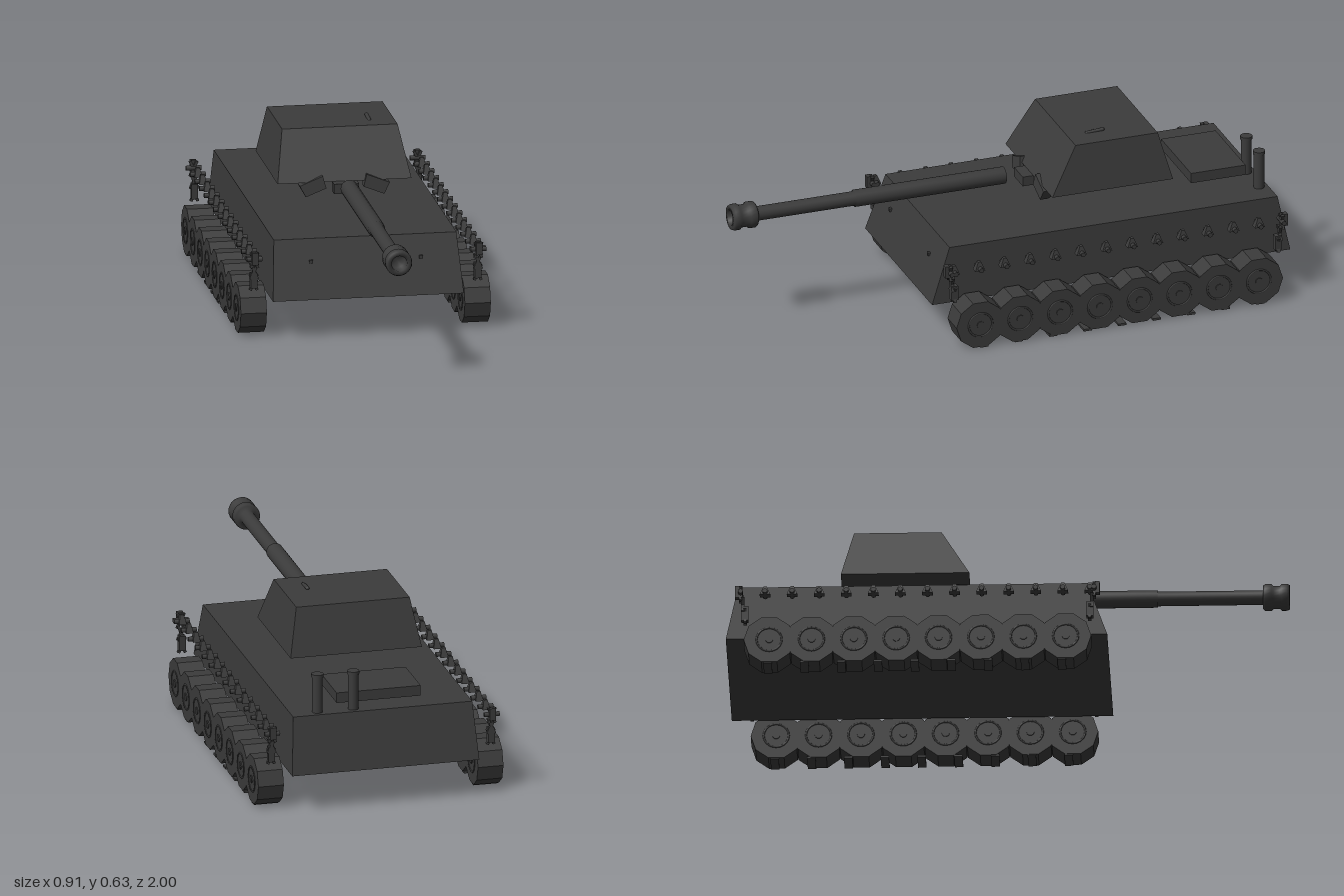
import * as THREE from 'three';

export function createModel() {
  const model = new THREE.Group();
  const steel = new THREE.MeshStandardMaterial({ color: 0x3b3b3b });
  steel.name = 'dark steel';
  const flatSteel = steel.clone();
  flatSteel.flatShading = true;

  function add(parent, name, geometry, x = 0, y = 0, z = 0, material = steel) {
    const mesh = new THREE.Mesh(geometry, material);
    mesh.name = name;
    mesh.position.set(x, y, z);
    parent.add(mesh);
    return mesh;
  }
  const box = (w, h, d) => new THREE.BoxGeometry(w, h, d);
  const rod = (r, len, sides = 20) => new THREE.CylinderGeometry(r, r, len, sides);

  // Box whose top and bottom rectangles differ: [half width, back z, front z]
  function taperedBox(bottom, top, y0, y1) {
    const g = box(2, 1, 1);
    const p = g.attributes.position;
    for (let i = 0; i < p.count; i++) {
      const upper = p.getY(i) > 0;
      const [w, back, front] = upper ? top : bottom;
      p.setXYZ(i, Math.sign(p.getX(i)) * w, upper ? y1 : y0, p.getZ(i) > 0 ? front : back);
    }
    g.computeVertexNormals();
    return g;
  }

  // Hull and turret
  add(model, 'hull', taperedBox([0.345, -1, 0.36], [0.33, -0.957, 0.288], 0.145, 0.353));
  const turret = new THREE.Group();
  turret.name = 'turret';
  model.add(turret);
  add(turret, 'turretBody', taperedBox([0.242, -0.593, -0.135], [0.209, -0.547, -0.235], 0.442, 0.617));
  const handle = add(turret, 'roofHandle', new THREE.CapsuleGeometry(0.007, 0.06, 4, 8), 0.12, 0.618, -0.34);
  handle.rotation.x = Math.PI / 2 + 0.08;

  // Angled blocks below the turret front
  for (const s of [-1, 1]) {
    const block = add(turret, 'mantletBlock',
      taperedBox([0.04, -0.155, -0.125], [0.045, -0.21, -0.13], -0.02, 0.025), s * 0.112, 0.425, 0);
    block.rotation.z = s * -0.38;
  }
  add(turret, 'mantlet', box(0.09, 0.036, 0.04), 0, 0.425, -0.115);

  // Gun barrel with a hollow muzzle brake
  const barrelProfile = [
    [0, -0.04], [0.031, -0.04], [0.031, 0.53], [0.026, 0.53], [0.026, 0.905], [0.042, 0.905],
    [0.048, 0.912], [0.048, 0.935], [0.041, 0.942], [0.041, 0.965], [0.048, 0.972],
    [0.048, 0.99], [0.044, 1], [0.028, 1], [0.028, 0.95], [0, 0.95],
  ];
  const barrelGeometry = new THREE.LatheGeometry(
    barrelProfile.map(([r, z]) => new THREE.Vector2(r, z)), 24).rotateX(Math.PI / 2);
  add(turret, 'gunBarrel', barrelGeometry, 0, 0.441, 0);

  // Engine cover, its base plate and the exhaust pipes
  add(model, 'engineCover', box(0.31, 0.038, 0.207), 0, 0.39, -0.797);
  add(model, 'coverPlate', box(0.175, 0.006, 0.17), -0.013, 0.365, -0.79);
  for (const x of [0.1, 0.232]) {
    add(model, 'exhaustPipe', rod(0.019, 0.18), x, 0.4, -0.923);
    add(model, 'exhaustRim', rod(0.022, 0.012), x, 0.491, -0.923);
  }

  // Front lamps on the sloping plate
  for (const x of [-0.2, 0.197]) {
    add(model, 'lamp', box(0.013, 0.012, 0.014), x, 0.275, 0.316);
  }

  // Running gear, one group per side
  const wheelGeometry = rod(0.091, 0.094, 10).rotateZ(Math.PI / 2);
  const rimGeometry = new THREE.TorusGeometry(0.045, 0.004, 6, 20).rotateY(Math.PI / 2);
  const hubGeometry = rod(0.014, 0.102, 10).rotateZ(Math.PI / 2);
  const pinGeometry = rod(0.009, 0.056, 8).rotateZ(Math.PI / 2);
  const barGeometry = box(0.01, 0.062, 0.012);
  for (const s of [-1, 1]) {
    const gear = new THREE.Group();
    gear.name = s > 0 ? 'leftRunningGear' : 'rightRunningGear';
    gear.position.x = s * 0.405;
    model.add(gear);

    for (let i = 0; i < 8; i++) {
      const z = 0.215 - i * 0.151;
      add(gear, 'wheel', wheelGeometry, 0, 0.091, z, flatSteel);
      add(gear, 'hub', hubGeometry, 0, 0.091, z);
      for (const side of [-1, 1]) add(gear, 'wheelRim', rimGeometry, side * 0.046, 0.091, z);
    }
    // Track shoes under the wheels
    for (let i = 0; i < 9; i++) {
      add(gear, 'trackShoe', box(0.09, 0.008, 0.03), 0, 0.004, 0.2 - i * 0.131);
    }
    // Upper links, each a cross pin with a wedge guide
    for (let i = 0; i < 13; i++) {
      const z = 0.3 - i * 0.0965;
      add(gear, 'linkPin', pinGeometry, 0, 0.293, z);
      add(gear, 'linkGuide', taperedBox([0.014, -0.019, 0.019], [0.007, -0.006, 0.006], -0.008, 0.025), 0, 0.293, z);
    }
    // Crossed chain links hanging at both ends
    for (const [z, lean] of [[0.315, 1], [-0.945, -1]]) {
      for (let k = 0; k < 3; k++) {
        for (const turn of [-0.42, 0.42]) {
          const bar = add(gear, 'chainLink', barGeometry, 0, 0.29 - k * 0.043, z - lean * k * 0.008);
          bar.rotation.z = turn;
        }
      }
      add(gear, 'chainPin', pinGeometry, 0, 0.293, z);
      add(gear, 'chainPlate', box(0.024, 0.055, 0.026), 0, 0.212, z - lean * 0.015);
      add(gear, 'chainTop', box(0.022, 0.045, 0.016), 0, 0.298, z + lean * 0.012);
    }
  }
  return model;
}
